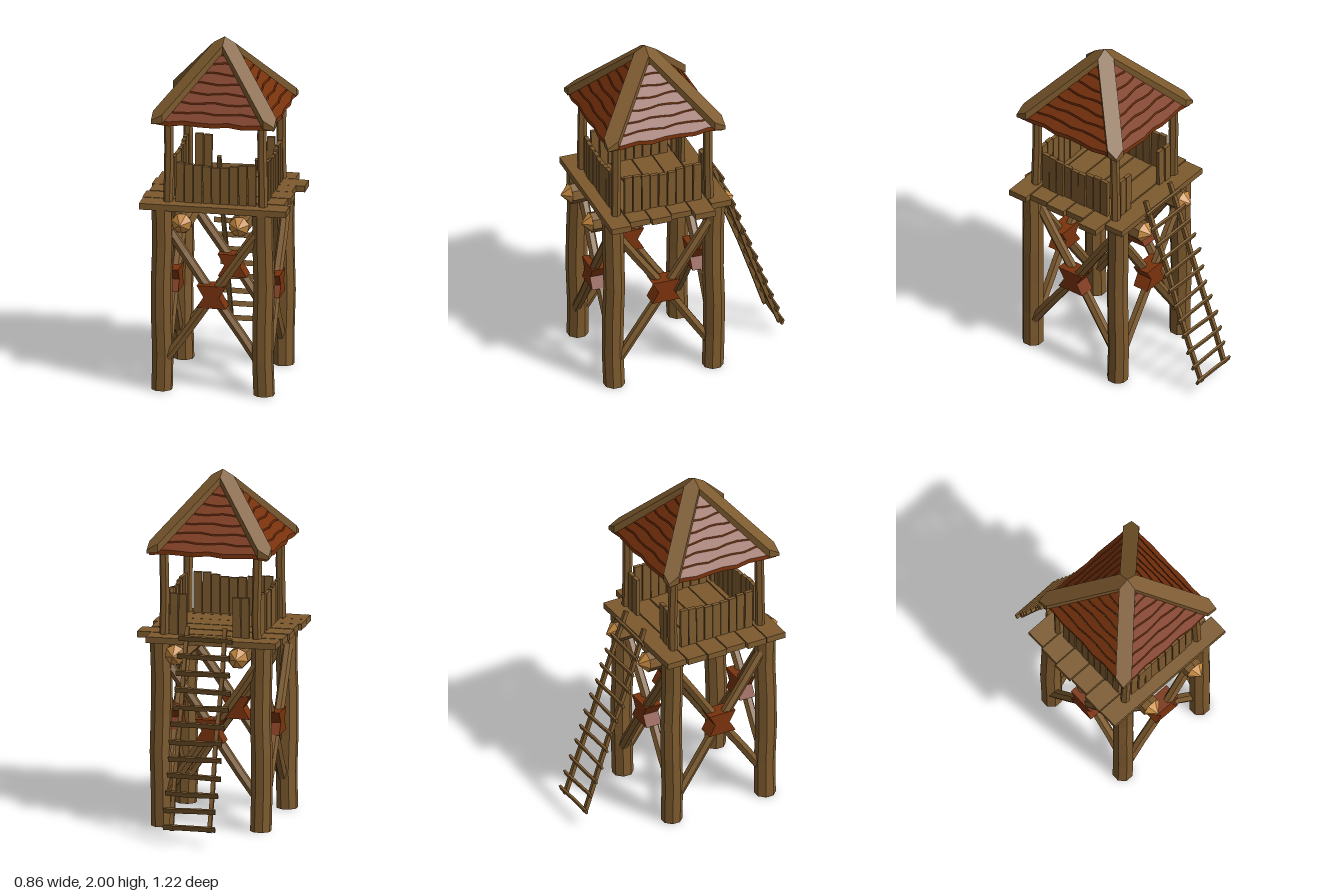
import * as THREE from 'three';

const mat = (color) => new THREE.MeshStandardMaterial({ color, flatShading: true });
const wood = mat(0x7d5a2e);
const redWood = mat(0x7a330d);
const cutWood = mat(0xc98c42);
const CZ = 0.16; // tower centre in z

// repeatable jitter in -1..1
const jitter = (n) => Math.sin(n * 12.9898 + 4.1) * Math.cos(n * 7.233);

function add(parent, name, geometry, material = wood) {
  const mesh = new THREE.Mesh(geometry, material);
  mesh.name = name;
  parent.add(mesh);
  return mesh;
}

// bend a z-aligned geometry gently so it looks hand cut
function wobble(geo, amp, seed) {
  const p = geo.attributes.position;
  for (let i = 0; i < p.count; i++) {
    const z = p.getZ(i);
    p.setXY(i, p.getX(i) + amp * Math.sin(z * 9 + seed * 2.3), p.getY(i) + amp * Math.cos(z * 8 + seed * 1.7));
  }
  geo.computeVertexNormals();
  return geo;
}

// round log between two points
function log(parent, name, a, b, r, sides, seed, amp = 0.004) {
  const from = new THREE.Vector3(...a), to = new THREE.Vector3(...b);
  const geo = new THREE.CylinderGeometry(r, r, from.distanceTo(to), sides, 5);
  geo.rotateY(Math.PI / sides).rotateX(Math.PI / 2);
  const mesh = add(parent, name, wobble(geo, amp, seed));
  mesh.position.copy(from).add(to).multiplyScalar(0.5);
  mesh.lookAt(to);
  return mesh;
}

// slab cut to a plan outline in x and z, its top following height(x, z)
function slab(parent, name, outline, thickness, height, material, floor = -Infinity) {
  const shape = new THREE.Shape(outline.map(([x, z]) => new THREE.Vector2(x, z)));
  const geo = new THREE.ExtrudeGeometry(shape, { depth: thickness, bevelEnabled: false });
  geo.rotateX(Math.PI / 2);
  const p = geo.attributes.position;
  for (let i = 0; i < p.count; i++) {
    p.setY(i, Math.max(floor, p.getY(i) + height(p.getX(i), p.getZ(i))));
  }
  geo.computeVertexNormals();
  return add(parent, name, geo, material);
}

// crossed braces with a binding at the crossing, facing +z
function crossBrace(seed) {
  const g = new THREE.Group();
  g.name = 'crossBrace';
  for (const s of [-1, 1]) {
    log(g, 'brace', [s * 0.275, 0.965, s * 0.016], [-s * 0.275, 0.165, s * 0.016], 0.029, 6, seed + s, 0.003);
  }
  const bow = new THREE.Shape();
  [[-0.083, -0.065], [0.083, -0.065], [0.045, 0], [0.083, 0.065], [-0.083, 0.065], [-0.045, 0]]
    .forEach(([x, y], i) => (i ? bow.lineTo(x, y) : bow.moveTo(x, y)));
  const geo = new THREE.ExtrudeGeometry(bow, { depth: 0.096, bevelEnabled: false });
  add(g, 'braceBinding', geo.translate(0, 0.567, -0.048), redWood);
  return g;
}

// row of upright planks along x, facing +z
function railing(skipMiddle, seed) {
  const g = new THREE.Group();
  g.name = 'railing';
  for (let i = 0; i < 9; i++) {
    if (skipMiddle && i > 1 && i < 7) continue;
    const h = 0.222 + 0.012 * Math.cos(i * 0.8) + 0.004 * jitter(i + seed);
    const plank = add(g, 'railingPlank', new THREE.BoxGeometry(0.046, h, 0.022));
    plank.position.set((i - 4) * 0.0515, 1.1 + h / 2, 0.004 * jitter(i * 3 + seed));
    plank.rotation.z = 0.015 * jitter(i + seed * 5);
  }
  return g;
}

function buildRoof() {
  const roof = new THREE.Group();
  roof.name = 'roof';
  const c = 0.353, w = 0.064;
  for (let side = 0; side < 4; side++) {
    const quarter = new THREE.Group();
    quarter.name = 'roofSide';
    quarter.rotation.y = side * Math.PI / 2;
    // hip beam on the corner
    const hip = [[0, 0], [w, 0], [c, c - w], [c, c], [c - w, c], [0, w]];
    slab(quarter, 'hipBeam', hip, 0.05, (x, z) => 2 - 1.155 * (x + z) / 2, wood, 1.572);
    // sloping boards with narrow wavy gaps
    const rows = 8, d0 = 0.03, step = (0.343 - d0) / rows, n = 8;
    const edge = (row, gap) => Array.from({ length: n + 1 }, (_, i) => {
      const d = d0 + row * step + gap, t = i / n * 2 - 1;
      return [t * d, d + 0.004 * Math.sin(t * d * 28 + row * 1.9 + side)];
    });
    for (let r = 0; r < rows; r++) {
      const outline = [...edge(r, 0.003), ...edge(r + 1, -0.003).reverse()];
      slab(quarter, 'roofBoard', outline, 0.026, (x, z) => 2.0 - 1.2 * z, redWood);
    }
    roof.add(quarter);
  }
  roof.position.z = 0.167;
  return roof;
}

function buildLadder() {
  const ladder = new THREE.Group();
  ladder.name = 'ladder';
  for (const s of [-1, 1]) {
    log(ladder, 'ladderRail', [s * 0.11, 1.17, -0.208], [s * 0.11, 0.08, -0.595], 0.016, 4, s, 0.003);
  }
  for (let i = 0; i < 12; i++) {
    const y = 0.1 + i * 0.0915, z = -0.603 + i * 0.0325, dx = 0.012 * jitter(i + 2);
    const geo = wobble(new THREE.BoxGeometry(0.03, 0.013, 0.31 + 0.015 * jitter(i + 9), 1, 1, 6), 0.003, i);
    const rung = add(ladder, 'ladderRung', geo.rotateY(Math.PI / 2).rotateX(1.23));
    rung.position.set(dx, y, z);
    rung.rotation.z = 0.02 * jitter(i * 2);
  }
  return ladder;
}

export function createModel() {
  const tower = new THREE.Group();
  tower.name = 'watchtower';

  // legs and the thinner posts above the floor
  [[-0.3, -0.14], [0.28, -0.14], [-0.3, 0.46], [0.28, 0.46]].forEach(([x, z], i) => {
    log(tower, 'leg', [x, 0, z], [x, 1.07, z], 0.061, 8, i);
    const px = x < 0 ? -0.267 : 0.27, pz = z < 0 ? -0.113 : 0.441;
    log(tower, 'roofPost', [px, 1.09, pz], [px, 1.62, pz], 0.027, 6, i + 4, 0.003);
  });

  // floor logs with pointed ends
  for (const [x0, x1] of [[-0.19, -0.17], [0.175, 0.16]]) {
    log(tower, 'floorLog', [x0, 1.01, -0.245], [x1, 1.01, 0.555], 0.06, 7, x0, 0.002);
    for (const s of [-1, 1]) {
      const tip = add(tower, 'logTip', new THREE.ConeGeometry(0.06, 0.055, 7), cutWood);
      tip.rotation.x = s * Math.PI / 2;
      tip.position.set(s < 0 ? x0 : x1, 1.01, s < 0 ? -0.2725 : 0.5825);
    }
  }

  // floor planks: left and right ends, back to front
  [[-0.4, 0.35], [-0.41, 0.43], [-0.42, 0.38], [-0.41, 0.4], [-0.425, 0.385], [-0.42, 0.42]].forEach(([a, b], i) => {
    const plank = add(tower, 'floorPlank', new THREE.BoxGeometry(b - a, 0.036, 0.118));
    plank.position.set((a + b) / 2, 1.083 + 0.002 * jitter(i), -0.16 + i * 0.1245);
    plank.rotation.y = 0.006 * jitter(i + 3);
  });

  // braces and railings on the four sides; the back railing is open for the ladder
  for (let i = 0; i < 4; i++) {
    const turn = i * Math.PI / 2, sx = Math.sin(turn), sz = Math.cos(turn);
    const brace = crossBrace(i);
    brace.position.set(-0.01 + sx * 0.29, 0, CZ + sz * 0.3);
    brace.rotation.y = turn;
    const rail = railing(i === 2, i);
    rail.position.set(0.005 + sx * 0.268, 0, 0.163 + sz * 0.277);
    rail.rotation.y = turn;
    tower.add(brace, rail);
  }

  tower.add(buildRoof(), buildLadder());
  return tower;
}
